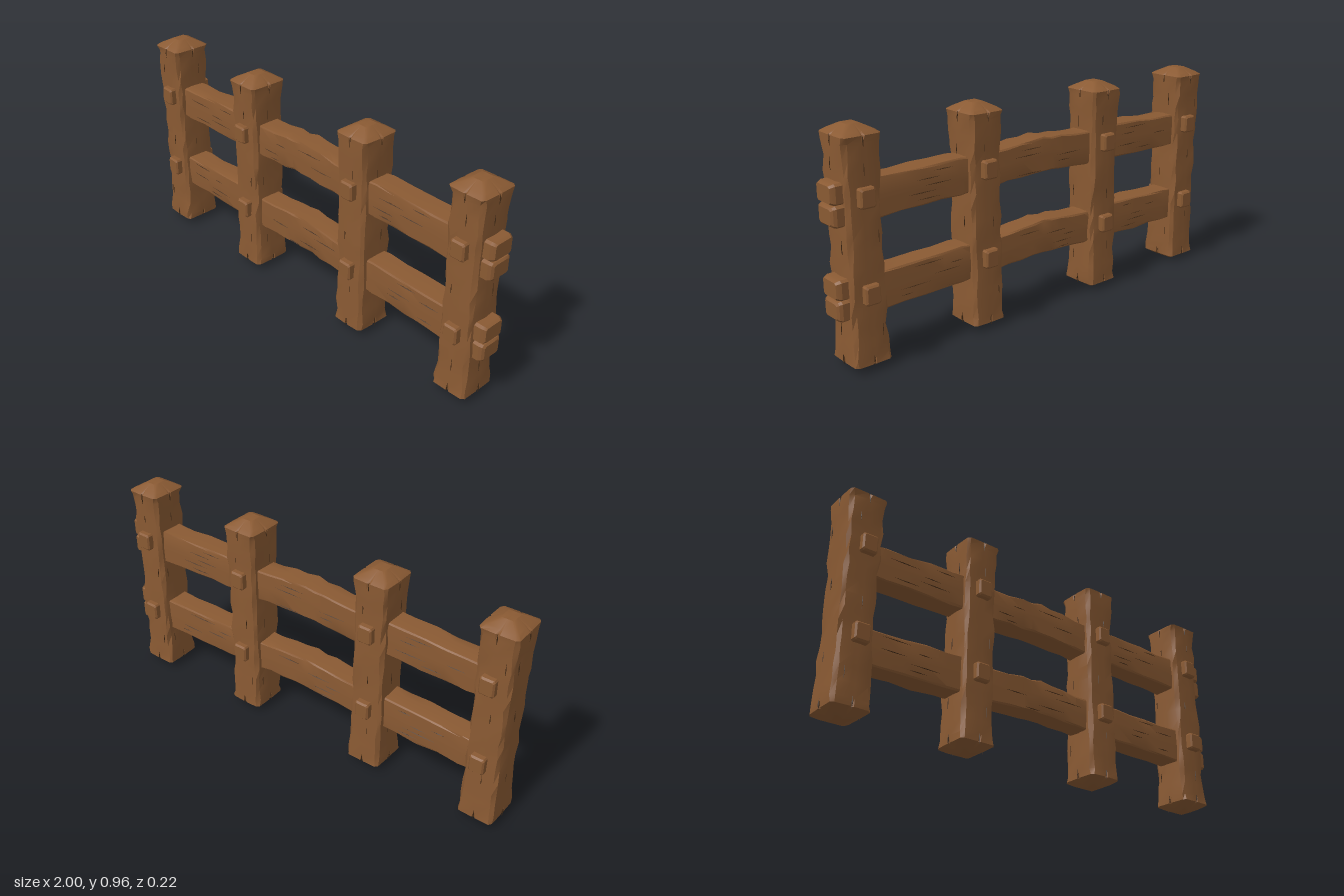
import * as THREE from 'three';
import { toCreasedNormals } from 'three/addons/utils/BufferGeometryUtils.js';

const wood = new THREE.MeshStandardMaterial({ color: 0x8a5a33 });
wood.name = 'brown wood';
const dark = new THREE.MeshStandardMaterial({ color: 0x3f2814 });
dark.name = 'dark crack';

let seed = 7;
const rand = () => (seed = (seed * 16807) % 2147483647) / 2147483647;

// Skin over closed counter-clockwise rings stacked along +z, with both ends capped.
function loft(rings) {
  const n = rings[0].length, pos = [], idx = [];
  rings.forEach(r => r.forEach(p => pos.push(...p)));
  for (let i = 0; i < rings.length - 1; i++) {
    for (let j = 0; j < n; j++) {
      const a = i * n + j, b = i * n + (j + 1) % n;
      idx.push(a, b, b + n, a, b + n, a + n);
    }
  }
  for (const end of [0, rings.length - 1]) {
    const c = pos.length / 3, mid = [0, 1, 2].map(k => rings[end].reduce((s, p) => s + p[k], 0) / n);
    pos.push(...mid);
    for (let j = 0; j < n; j++) {
      const a = end * n + j, b = end * n + (j + 1) % n;
      if (end) idx.push(a, b, c); else idx.push(b, a, c);
    }
  }
  const g = new THREE.BufferGeometry();
  g.setAttribute('position', new THREE.Float32BufferAttribute(pos, 3));
  g.setIndex(idx);
  return g;
}

// Chamfered rectangle: optional notch in the middle of each side, worn corners.
function section(z, hx, hy, { cx = 0, cy = 0, chamfer = 0.14, notch = 0, wear = 0 } = {}) {
  const pts = [], e = 1 - chamfer;
  for (let k = 0; k < 4; k++) {
    for (const u of [-e, -0.1, 0, 0.1, e]) {
      const w = Math.abs(u) === e ? 1 - rand() * wear : 1;
      let x = u === 0 ? 1 - notch : w, y = u * w;
      for (let q = 0; q < k; q++) [x, y] = [-y, x];
      pts.push([cx + x * hx, cy + y * hy, z]);
    }
  }
  return pts;
}

function add(parent, name, geo, mat = wood) {
  const m = new THREE.Mesh(toCreasedNormals(geo, 0.45), mat);
  m.name = name;
  parent.add(m);
  return m;
}

// Thin tapered sliver set into a surface.
function crack(parent, x, y, z, sx, sy, sz) {
  const m = add(parent, 'crack', new THREE.OctahedronGeometry(1).scale(sx, sy, sz), dark);
  m.position.set(x, y, z);
}

// Half depth of a post along its height: narrow waist, flared ends.
const postHalf = y => 0.084 + 0.007 * Math.pow(Math.abs(y - 0.48) / 0.45, 3);

function makePost() {
  const g = new THREE.Group();
  g.name = 'post';
  const rings = [section(0, 0.025, 0.03), section(0.014, 0.055, 0.062, { notch: 0.05 }),
    section(0.03, 0.081, 0.091, { notch: 0.09, wear: 0.04 })];
  for (let i = 0; i <= 14; i++) {
    const y = 0.06 + i * 0.06, h = postHalf(y) + (rand() - 0.5) * 0.003;
    rings.push(section(y, h * 0.92, h, { wear: 0.1, chamfer: 0.1 + rand() * 0.12 }));
  }
  rings.push(section(0.926, 0.083, 0.092, { notch: 0.09, wear: 0.03 }),
    section(0.938, 0.066, 0.072, { notch: 0.05 }), section(0.96, 0.026, 0.03));
  add(g, 'post beam', loft(rings).rotateX(-Math.PI / 2));
  // End splits and grain marks on all four faces
  for (const s of [-1, 1]) {
    for (const [y, len] of [[0.045, 0.025], [0.905, 0.025]]) {
      const h = postHalf(y);
      crack(g, 0, y, s * h, 0.003, len, 0.004);
      crack(g, s * h * 0.92, y, 0, 0.004, len, 0.003);
    }
    for (let i = 0; i < 3; i++) {
      const y = 0.15 + i * 0.3 + rand() * 0.1, h = postHalf(y), u = (rand() - 0.5) * 0.1;
      crack(g, u, y, s * h, 0.002, 0.03, 0.003);
      crack(g, s * h * 0.92, y, u, 0.003, 0.03, 0.002);
    }
  }
  return g;
}

// Rail outline: [x, bottom, top]
const RAIL = [[-0.92, 0.592, 0.745], [-0.8, 0.594, 0.746], [-0.6, 0.596, 0.755], [-0.4, 0.603, 0.762],
  [-0.27, 0.602, 0.75], [-0.12, 0.611, 0.762], [-0.02, 0.616, 0.769], [0.1, 0.611, 0.761],
  [0.25, 0.603, 0.749], [0.42, 0.597, 0.757], [0.6, 0.595, 0.752], [0.8, 0.59, 0.75], [0.945, 0.59, 0.755]];

function makeRail(name, dy) {
  const g = new THREE.Group();
  g.name = name;
  const rings = [];
  RAIL.forEach(([x, b, t], i) => {
    const [, pb, pt] = RAIL[Math.max(0, i - 1)];
    const px = RAIL[Math.max(0, i - 1)][0];
    if (i) {
      rings.push(section((x + px) / 2, 0.054, (t + pt - b - pb) / 4 - rand() * 0.003,
        { cy: (t + pt + b + pb) / 4, chamfer: 0.1, wear: 0.08 }));
    }
    rings.push(section(x, 0.055, (t - b) / 2, { cy: (t + b) / 2, chamfer: 0.08, wear: 0.05 }));
  });
  add(g, 'rail beam', loft(rings).rotateY(Math.PI / 2));
  // Split end: two bevelled lobes
  for (const [y, h, bevel] of [[0.716, 0.041, 0.8], [0.631, 0.042, 0.72]]) {
    const o = { cy: y, chamfer: 0.2 };
    add(g, 'rail end', loft([section(0.93, 0.057, h, o), section(0.978, 0.057, h, o),
      section(0.99, 0.051, h * 0.9, o), section(0.997, 0.057 * bevel, h * bevel, o)]).rotateY(Math.PI / 2));
  }
  // Long grain marks on front and back
  for (const s of [-1, 1]) {
    for (const [x0, x1] of [[-0.82, -0.46], [-0.27, 0.21], [0.4, 0.78]]) {
      for (let i = 0; i < 5; i++) {
        const len = 0.03 + rand() * 0.05, x = x0 + len + rand() * (x1 - x0 - 2 * len);
        crack(g, x, 0.625 + i * 0.026, s * 0.0545, len, 0.002, 0.003);
      }
    }
  }
  g.position.y = dy;
  return g;
}

// Square peg passing right through a post
function makePeg() {
  const w = 0.033, h = 0.039, o = { chamfer: 0.18 };
  return loft([section(-0.112, w * 0.8, h * 0.82, o), section(-0.105, w, h, o),
    section(0.105, w, h, o), section(0.112, w * 0.8, h * 0.82, o)]);
}

export function createModel() {
  seed = 7;
  const fence = new THREE.Group();
  fence.name = 'fence';
  fence.add(makeRail('upperRail', 0), makeRail('lowerRail', -0.37));
  [-0.916, -0.363, 0.307, 0.875].forEach((x, i) => {
    const post = makePost();
    post.position.x = x;
    fence.add(post);
    for (const y of [0.697, 0.319]) add(fence, 'peg', makePeg()).position.set(x + (i ? 0 : 0.009), y, 0);
  });
  return fence;
}
